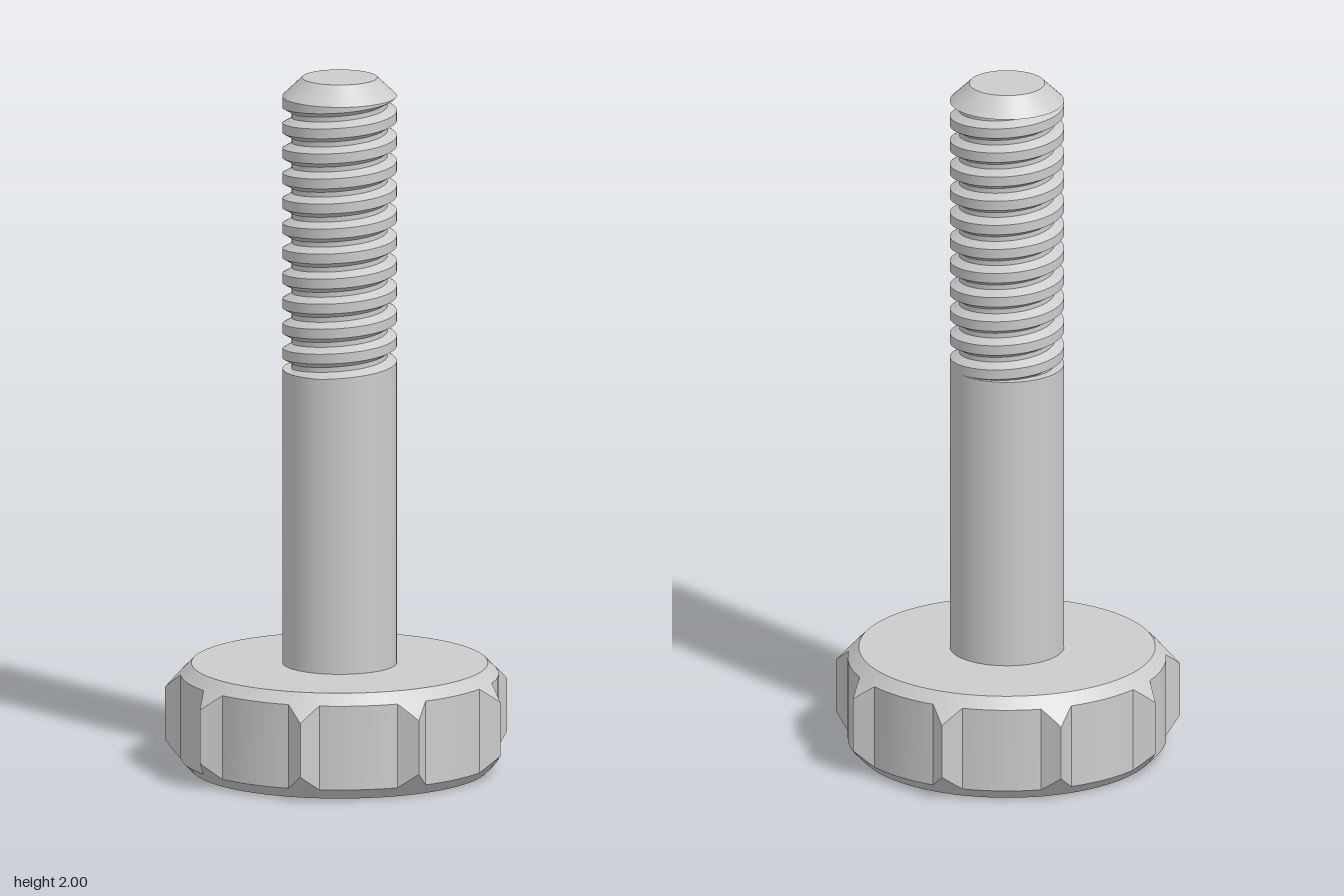
import * as THREE from 'three';
import { toCreasedNormals } from 'three/addons/utils/BufferGeometryUtils.js';

const material = new THREE.MeshStandardMaterial({ color: 0xcccccc });
const TAU = Math.PI * 2;
const R = 0.162; // shaft radius
const HEAD_H = 0.305;
const THREAD_Y0 = 1.157, THREAD_Y1 = 1.947;

// Skin a closed ring of radial profiles: columns = [{ a: angle, pts: [[radius, y], ...] }]
function skin(columns) {
  const at = ({ a, pts }, j) =>
    new THREE.Vector3(pts[j][0] * Math.cos(a), pts[j][1], -pts[j][0] * Math.sin(a));
  const pos = [];
  const tri = new THREE.Triangle();
  const add = (p, q, r) => {
    tri.set(p, q, r);
    if (tri.getArea() > 1e-10) for (const v of [p, q, r]) pos.push(v.x, v.y, v.z);
  };
  for (let i = 0; i + 1 < columns.length; i++) {
    for (let j = 0; j + 1 < columns[i].pts.length; j++) {
      const p = at(columns[i], j), q = at(columns[i + 1], j);
      const r = at(columns[i + 1], j + 1), s = at(columns[i], j + 1);
      add(p, q, r);
      add(p, r, s);
    }
  }
  const g = new THREE.BufferGeometry();
  g.setAttribute('position', new THREE.Float32BufferAttribute(pos, 3));
  return toCreasedNormals(g, 0.5);
}

// Round knob with nine pointed grip ridges, both rims chamfered at 45 degrees
function headGeometry() {
  const tip = 0.495, baseX = 0.449, baseZ = 0.045, flat = 0.42;
  const body = Math.hypot(baseX, baseZ), half = Math.atan2(baseZ, baseX);
  const columns = [];
  const addColumn = (a, r) => columns.push({
    a,
    pts: [[0, 0], [flat, 0], [r, r - flat], [r, HEAD_H - r + flat], [flat, HEAD_H], [0, HEAD_H]],
  });
  const step = TAU / 9, S = 4, ARC = 8;
  for (let k = 0; k < 9; k++) {
    // ridge: straight flanks either side of the tip
    for (let i = -S; i <= S; i++) {
      const t = i / S;
      const x = tip + (baseX - tip) * Math.abs(t), z = baseZ * t;
      addColumn(k * step + Math.atan2(z, x), Math.hypot(x, z));
    }
    // round body up to the next ridge
    for (let i = 1; i < ARC; i++) {
      addColumn(k * step + half + (step - 2 * half) * i / ARC, body);
    }
  }
  columns.push({ a: columns[0].a + TAU, pts: columns[0].pts });
  return skin(columns);
}

// Right-hand helical groove, cut off flat at both ends
function threadGeometry() {
  const pitch = 0.0725, root = 0.136, mid0 = 1.205;
  const wide = 0.022, narrow = 0.007; // half widths of the groove at crest and root
  const radiusAt = (y, mid) => {
    const d = Math.abs(y - mid - pitch * Math.round((y - mid) / pitch));
    return THREE.MathUtils.clamp(root + (R - root) * (d - narrow) / (wide - narrow), root, R);
  };
  const columns = [];
  const N = 72;
  for (let i = 0; i <= N; i++) {
    const a = TAU * i / N;
    const mid = mid0 + pitch * i / N;
    const pts = [[R, THREAD_Y0]];
    for (let k = -3; k <= 12; k++) {
      for (const d of [-wide, -narrow, narrow, wide]) {
        const y = THREE.MathUtils.clamp(mid + k * pitch + d, THREAD_Y0, THREAD_Y1);
        pts.push([radiusAt(y, mid), y]);
      }
    }
    pts.push([R, THREAD_Y1]);
    columns.push({ a, pts });
  }
  return skin(columns);
}

export function createModel() {
  const model = new THREE.Group();
  model.name = 'thumbScrew';
  const add = (name, geometry, y = 0) => {
    const mesh = new THREE.Mesh(geometry, material);
    mesh.name = name;
    mesh.position.set(-0.015, y, 0); // the odd ridge count shifts the axis off centre
    model.add(mesh);
  };

  add('gripHead', headGeometry());
  // plain shank
  add('shank', new THREE.CylinderGeometry(R, R, THREAD_Y0 - HEAD_H, 72, 1, true),
    (THREAD_Y0 + HEAD_H) / 2);
  add('thread', threadGeometry());
  // chamfered end
  add('tip', new THREE.CylinderGeometry(0.107, R, 2 - THREAD_Y1, 72), (2 + THREAD_Y1) / 2);
  return model;
}
